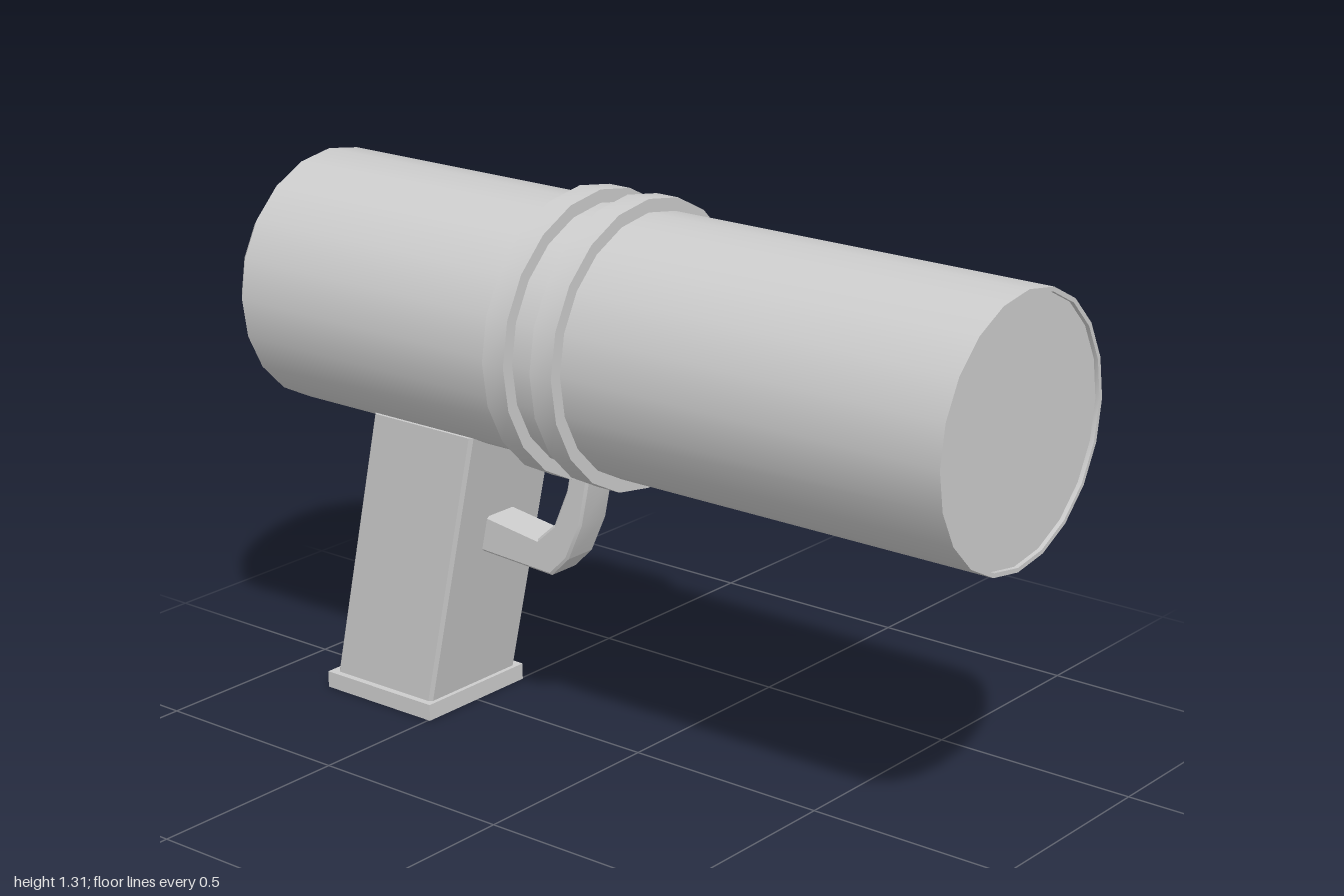
import * as THREE from 'three';
import { toCreasedNormals } from 'three/addons/utils/BufferGeometryUtils.js';

const SIDES = 20;
const AXIS_Y = 0.98;
const material = new THREE.MeshStandardMaterial({ color: 0xcccccc });

function addPart(group, name, geometry, crease = 0.6) {
  const mesh = new THREE.Mesh(toCreasedNormals(geometry, crease), material);
  mesh.name = name;
  group.add(mesh);
  return mesh;
}

// Turned part around the barrel axis; profile is [radius, z] from back to front
function turned(profile) {
  const points = profile.map(([r, z]) => new THREE.Vector2(r, z));
  return new THREE.LatheGeometry(points, SIDES).rotateX(Math.PI / 2).translate(0, AXIS_Y, 0);
}

function polygon(points) {
  return new THREE.Shape(points.map(([x, y]) => new THREE.Vector2(x, y)));
}

export function createModel() {
  const model = new THREE.Group();
  model.name = 'handheldScanner';

  // Barrel with a domed back and a thin rim around the front lens
  addPart(model, 'barrel', turned([
    [0, -1], [0.18, -1], [0.22, -0.993], [0.258, -0.973], [0.3, -0.93],
    [0.3, 1], [0.29, 1], [0.29, 0.99], [0, 0.99],
  ]));

  // Two raised bands
  for (const [name, z] of [['frontBand', 0], ['rearBand', -0.135]]) {
    addPart(model, name, turned([
      [0.28, z - 0.03], [0.33, z - 0.03], [0.33, z + 0.03], [0.28, z + 0.03],
    ]));
  }

  // Slanted grip: chamfered rectangle extruded upward, then sheared back
  const w = 0.15, d = 0.152, c = 0.008;
  const section = polygon([
    [-w + c, -d], [w - c, -d], [w, -d + c], [w, d - c],
    [w - c, d], [-w + c, d], [-w, d - c], [-w, -d + c],
  ]);
  const bottom = 0.03, height = 0.69;
  const grip = new THREE.ExtrudeGeometry(section, { depth: height, bevelEnabled: false });
  grip.rotateX(-Math.PI / 2).translate(0, bottom, 0);
  const pos = grip.attributes.position;
  for (let i = 0; i < pos.count; i++) {
    const t = (pos.getY(i) - bottom) / height;
    pos.setZ(i, pos.getZ(i) - 0.66 + 0.145 * t);
  }
  addPart(model, 'grip', grip);

  // Base plate under the grip
  addPart(model, 'basePlate', new THREE.BoxGeometry(0.332, 0.04, 0.33).translate(0, 0.02, -0.66));

  // Trigger guard: side outline in (-z, y), extruded across x
  const guardShape = polygon([
    [0.1, 0.7], [0.11, 0.635], [0.13, 0.535], [0.17, 0.445], [0.22, 0.395], [0.47, 0.408],
    [0.47, 0.504], [0.26, 0.475], [0.21, 0.52], [0.172, 0.61], [0.155, 0.7],
  ]);
  const guard = new THREE.ExtrudeGeometry(guardShape, {
    depth: 0.082, bevelThickness: 0.006, bevelSize: 0.006, bevelOffset: -0.006, bevelSegments: 1,
  });
  guard.translate(0, 0, -0.041).rotateY(Math.PI / 2);
  addPart(model, 'triggerGuard', guard, 0.3);

  return model;
}
